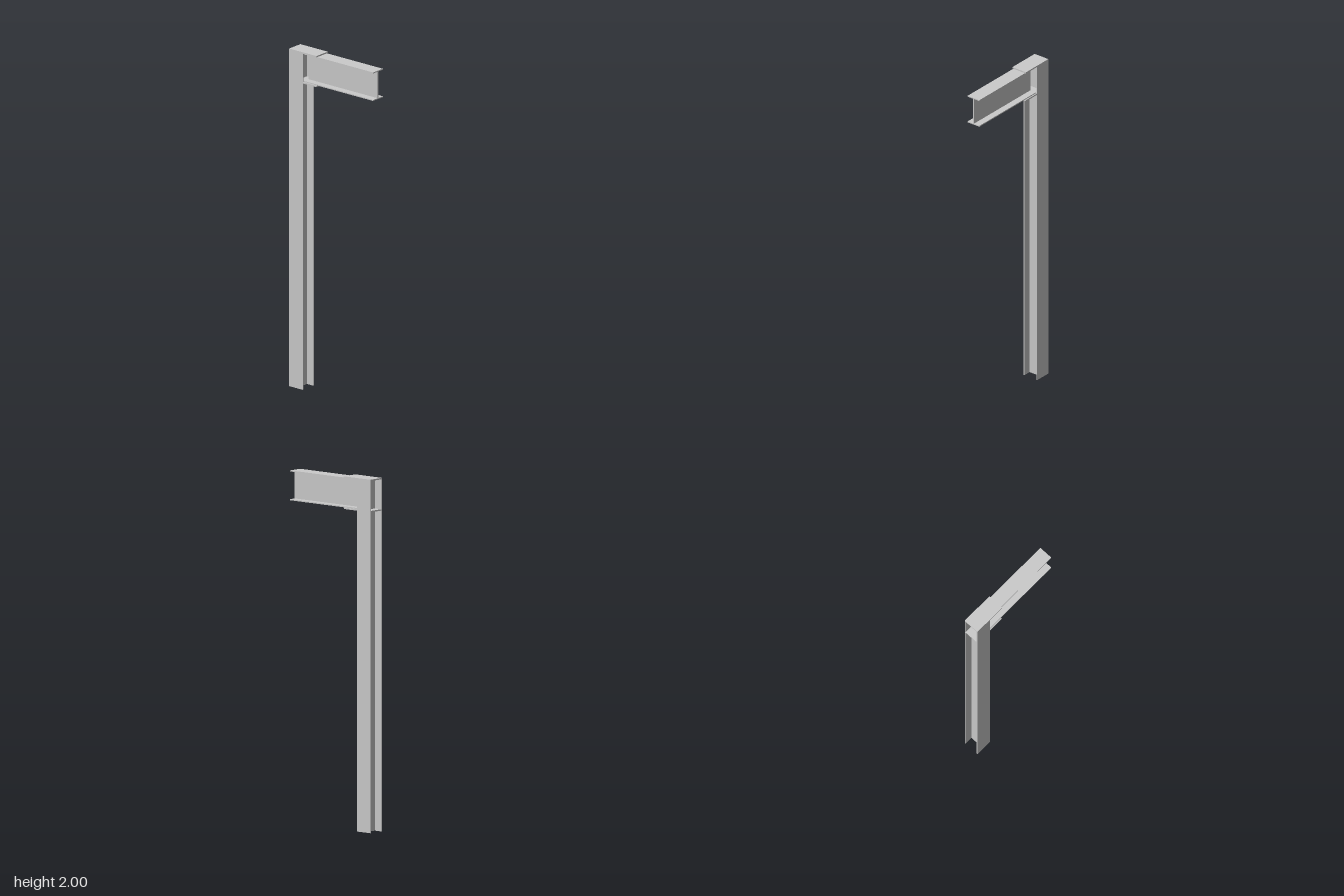
import * as THREE from 'three';

// I-section centred on the origin: flanges at +-height/2, extruded along +z
function iSection(width, height, flange, web, length) {
  const w = width / 2, h = height / 2, t = web / 2, f = h - flange;
  const points = [
    [-w, -h], [w, -h], [w, -f], [t, -f], [t, f], [w, f],
    [w, h], [-w, h], [-w, f], [-t, f], [-t, -f], [-w, -f],
  ].map(([x, y]) => new THREE.Vector2(x, y));
  return new THREE.ExtrudeGeometry(new THREE.Shape(points), { depth: length, bevelEnabled: false });
}

export function createModel() {
  const group = new THREE.Group();
  const material = new THREE.MeshStandardMaterial({ color: 0xcccccc, flatShading: true });
  const add = (name, geometry, x, y, z) => {
    const mesh = new THREE.Mesh(geometry, material);
    mesh.name = name;
    mesh.position.set(x, y, z);
    group.add(mesh);
  };

  // Upright column, flanges facing front and back
  const column = iSection(0.1, 0.098, 0.006, 0.005, 1.992).rotateX(-Math.PI / 2);
  add('column', column, -0.254, 0, 0);

  // Horizontal beam, flanges at top and bottom
  const beam = iSection(0.084, 0.169, 0.006, 0.005, 0.504).rotateY(Math.PI / 2);
  add('beam', beam, -0.2, 1.9075, 0);

  // Cap plate over the column and seat plate under the beam
  add('capPlate', new THREE.BoxGeometry(0.2, 0.008, 0.098), -0.204, 1.996, 0);
  add('seatPlate', new THREE.BoxGeometry(0.199, 0.008, 0.0975), -0.2045, 1.819, 0);

  return group;
}
